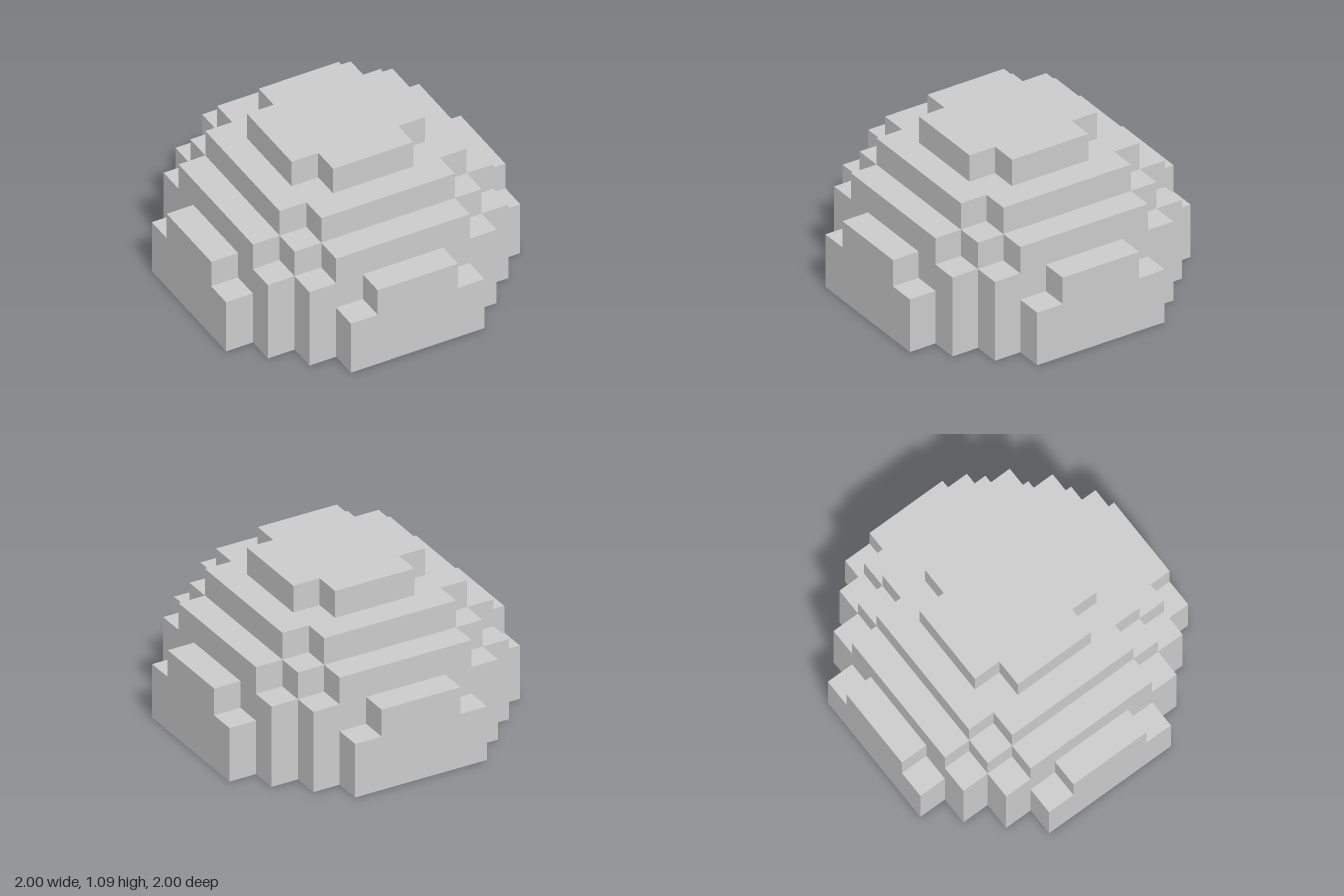
import * as THREE from 'three';
import { mergeGeometries } from 'three/addons/utils/BufferGeometryUtils.js';

const R = 5;                  // cells from the centre cell to the rim
const CELL = 2 / (2 * R + 1); // block size

// A block is solid when its centre lies inside the half sphere
const solid = (x, y, z) => y >= 0 && x * x + y * y + z * z <= (R + 0.5) ** 2;

const DIRECTIONS = [
  [1, 0, 0], [-1, 0, 0], [0, 1, 0], [0, -1, 0], [0, 0, 1], [0, 0, -1],
].map((d) => new THREE.Vector3(...d));

// Square on the side of a block that faces direction d
function blockFace(x, y, z, d) {
  const face = new THREE.PlaneGeometry(CELL, CELL);
  face.applyQuaternion(new THREE.Quaternion().setFromUnitVectors(new THREE.Vector3(0, 0, 1), d));
  return face.translate(
    (x + d.x / 2) * CELL,
    (y + 0.5 + d.y / 2) * CELL,
    (z + d.z / 2) * CELL,
  );
}

export function createModel() {
  const group = new THREE.Group();
  group.name = 'blockDome';
  const material = new THREE.MeshStandardMaterial({ color: 0xcccccc, flatShading: true });

  // Keep only the faces on the outside, so the dome is one closed shell
  const faces = [];
  for (let y = 0; y <= R; y++) {
    for (let x = -R; x <= R; x++) {
      for (let z = -R; z <= R; z++) {
        if (!solid(x, y, z)) continue;
        for (const d of DIRECTIONS) {
          if (!solid(x + d.x, y + d.y, z + d.z)) faces.push(blockFace(x, y, z, d));
        }
      }
    }
  }

  const dome = new THREE.Mesh(mergeGeometries(faces), material);
  dome.name = 'dome';
  group.add(dome);
  return group;
}
